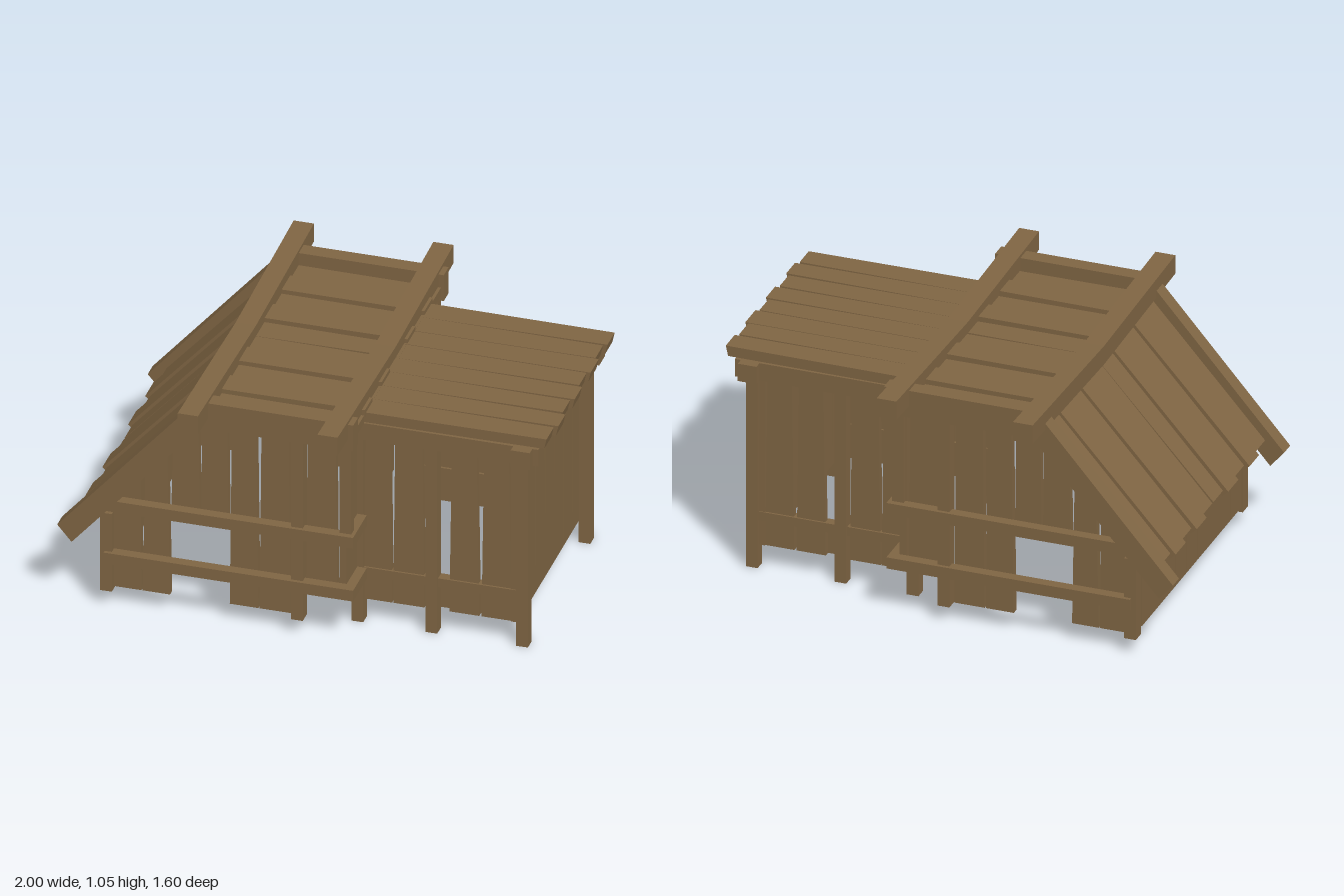
import * as THREE from 'three';

const wood = new THREE.MeshStandardMaterial({ color: 0x7f6543, flatShading: true, side: THREE.DoubleSide });

export function createModel() {
  const model = new THREE.Group();
  let seed = 7;
  const rnd = () => { seed = (seed * 16807) % 2147483647; return seed / 2147483647; };

  const add = (name, geo) => {
    geo.computeVertexNormals();
    const mesh = new THREE.Mesh(geo, wood);
    mesh.name = name;
    model.add(mesh);
    return mesh;
  };

  // Box given by its limits
  const box = (name, x0, x1, y0, y1, z0, z1) => {
    const g = new THREE.BoxGeometry(x1 - x0, y1 - y0, z1 - z0);
    g.translate((x0 + x1) / 2, (y0 + y1) / 2, (z0 + z1) / 2);
    return add(name, g);
  };

  // Same box on the front and the back
  const pair = (name, x0, x1, y0, y1, z0, z1) => {
    box(name + 'Front', x0, x1, y0, y1, z0, z1);
    box(name + 'Back', x0, x1, y0, y1, -z1, -z0);
  };

  // Outline in x and y, extruded from z0 to z1
  const slab = (name, pts, z0, z1, taper = 0) => {
    const shape = new THREE.Shape(pts.map(p => new THREE.Vector2(...p)));
    const g = new THREE.ExtrudeGeometry(shape, { depth: z1 - z0, bevelEnabled: false });
    g.translate(0, 0, (z0 - z1) / 2);
    const p = g.attributes.position;
    for (let i = 0; i < p.count; i++) {
      p.setZ(i, p.getZ(i) * (1 - taper * Math.abs(p.getX(i) + 0.4)) + (z0 + z1) / 2);
    }
    return add(name, g);
  };

  // Underside of the main roof at x
  const under = x => Math.min(0.93, 0.92 + (x + 0.4) * 1.15);

  // Side wall plank, slightly narrower at the top, cut to the roof line
  const wallPlank = (x0, x1, y0, z0 = 0.57, z1 = 0.6) => {
    const t = 0.004 + rnd() * 0.008;
    const a = x0 + t, b = x1 - t;
    const pts = [[x0, y0], [x1, y0], [b, under(b)], [a, under(a)]];
    slab('wallPlankFront', pts, z0, z1);
    slab('wallPlankBack', pts, -z1, -z0);
  };

  // Main room: side planks with an opening, and short ones over it
  for (const [x0, x1, y0] of [
    [-0.785, -0.665, 0.08], [-0.66, -0.545, 0.08], [-0.54, -0.42, 0.45], [-0.415, -0.3, 0.45],
    [-0.295, -0.175, 0.08], [-0.17, -0.04, 0.08], [0.025, 0.155, 0.22],
  ]) wallPlank(x0, x1, y0);

  pair('cornerPost', -0.83, -0.78, 0.07, 0.43, 0.57, 0.63);
  pair('wallPost', -0.03, 0.02, 0.07, 0.92, 0.57, 0.63);
  pair('returnPlank', 0.165, 0.195, 0.22, 0.92, 0.45, 0.6);
  pair('topPost', 0.17, 0.22, 0.45, 0.92, 0.58, 0.62);

  // Rails that wrap round to the annex
  for (const [y0, y1] of [[0.45, 0.5], [0.205, 0.255]]) {
    pair('longRail', -0.81, 0.235, y0, y1, 0.6, 0.645);
    pair('returnRail', 0.195, 0.235, y0, y1, 0.455, 0.6);
  }

  // Low end wall
  for (let i = 0; i < 9; i++) {
    const z = -0.56 + i * 1.12 / 9;
    box('lowWallPlank', -0.83, -0.795, 0.1, 0.43 - rnd() * 0.02, z, z + 0.121);
  }

  // Bent main roof: edge boards and alternating planks
  const edge = [[0.24, 1.03], [-0.417, 1.03], [-1, 0.36], [-0.94, 0.29], [-0.4, 0.91], [0.24, 0.91]];
  slab('roofEdgeFront', edge, 0.59, 0.658);
  slab('roofEdgeBack', edge, -0.658, -0.59);
  const raised = [0, 1, 0, 1, 0, 0, 1, 0, 1, 0];
  raised.forEach((up, i) => {
    const drop = up ? 0.03 : 0.048;
    const end = up ? -0.94 : -0.92;
    const top = x => 0.36 + 1.15 * (x + 1) - drop;
    const y = 1.022 - drop;
    const pts = [[0.23, y], [-0.41, y], [end, top(end)], [end + 0.026, top(end) - 0.023],
      [-0.393, y - 0.037], [0.23, y - 0.037]];
    const z = -0.59 + i * 0.118;
    slab('roofPlank', pts, z, z + 0.117, 0.03 + rnd() * 0.16);
  });

  // Sagging beams across the main roof
  for (const x of [-0.41, 0.175]) {
    const g = new THREE.BoxGeometry(0.085, 0.083, 1.6, 1, 1, 2);
    const p = g.attributes.position;
    for (let i = 0; i < p.count; i++) p.setY(i, p.getY(i) + 0.982 + 0.0325 * Math.abs(p.getZ(i)));
    g.translate(x, 0, 0);
    add('roofBeam', g);
  }

  // Annex: posts, side planks, skirting and rails
  for (const x of [0.17, 0.48, 0.86]) pair('annexPost', x, x + 0.05, 0, 0.87, 0.405, 0.455);
  for (const [x0, x1] of [[0.215, 0.335], [0.34, 0.47], [0.575, 0.7], [0.71, 0.835]]) {
    wallPlank(x0, x1, 0.1, 0.41, 0.435);
  }
  pair('annexSkirting', 0.22, 0.835, 0.1, 0.22, 0.4, 0.41);
  pair('annexRail', 0.2, 0.86, 0.21, 0.25, 0.4, 0.443);
  pair('annexTopBeam', 0.2, 0.955, 0.85, 0.928, 0.38, 0.46);
  box('annexCrossBeam', 0.85, 0.93, 0.85, 0.928, -0.495, 0.495);

  // Annex end wall with wedge gaps
  const cuts = [-0.44, -0.315, -0.19, -0.065, 0.06, 0.19, 0.315, 0.44];
  for (let i = 0; i < 7; i++) {
    const w = cuts[i + 1] - cuts[i];
    const g = new THREE.BoxGeometry(0.028, 0.77, w);
    const p = g.attributes.position;
    const t = 0.88 + rnd() * 0.1;
    for (let j = 0; j < p.count; j++) if (p.getY(j) > 0) p.setZ(j, p.getZ(j) * t);
    g.translate(0.848, 0.485, (cuts[i] + cuts[i + 1]) / 2);
    add('endWallPlank', g);
  }

  // Annex roof planks, narrowing towards the main room or away from it
  for (let i = 0; i < 8; i++) {
    const x1 = 0.975 + (i % 2 ? 0 : 0.015);
    const g = new THREE.BoxGeometry(x1 - 0.18, 0.045, 0.113);
    const p = g.attributes.position;
    const t = 0.86 + rnd() * 0.1;
    const far = rnd() > 0.3;
    for (let j = 0; j < p.count; j++) {
      const outer = p.getX(j) > 0;
      if (outer === far) p.setZ(j, p.getZ(j) * t);
      if (outer && p.getY(j) > 0) p.setX(j, p.getX(j) + 0.01);
    }
    g.translate((x1 + 0.18) / 2, 0.951, -0.396 + i * 0.113);
    add('annexRoofPlank', g);
  }

  return model;
}
